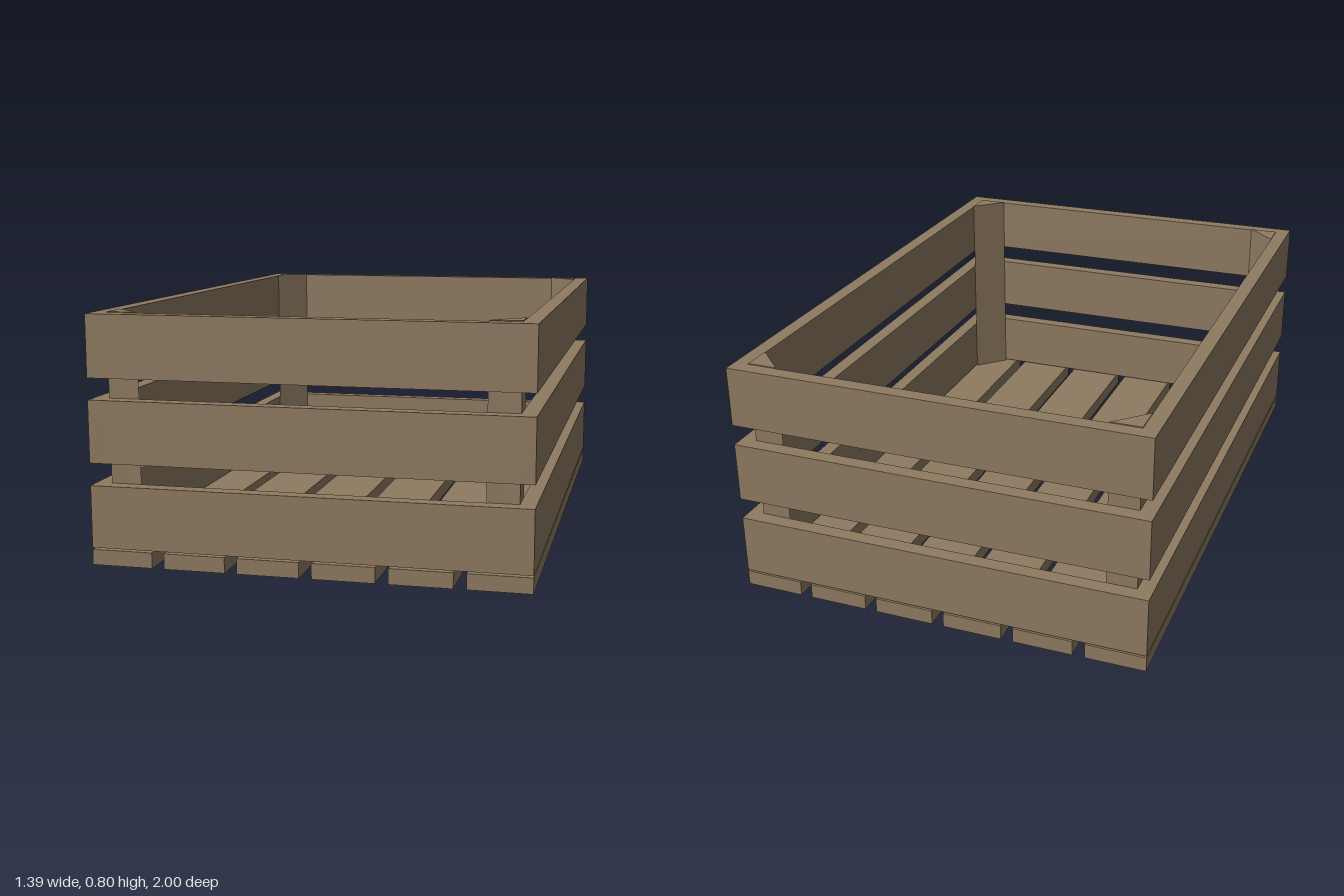
import * as THREE from 'three';

export function createModel() {
  const crate = new THREE.Group();
  crate.name = 'crate';
  const wood = new THREE.MeshStandardMaterial({ color: 0x8e7a60 });
  wood.name = 'wood';

  const W = 0.697, L = 1, T = 0.05, H = 0.2; // half width, half length, board thickness, board height

  function add(name, geometry, x, y, z) {
    const mesh = new THREE.Mesh(geometry, wood);
    mesh.name = name;
    mesh.position.set(x, y, z);
    crate.add(mesh);
  }

  // six floor boards running lengthwise
  const floorWidth = 0.199, pitch = (2 * W - floorWidth) / 5;
  for (let i = 0; i < 6; i++) {
    add('floorBoard', new THREE.BoxGeometry(floorWidth, T, 2 * L), (i - 2.5) * pitch, T / 2, 0);
  }

  // three tiers of wall boards: full-length sides with the ends set between them
  for (const y of [0.156, 0.428, 0.697]) {
    for (const s of [-1, 1]) {
      add('sideBoard', new THREE.BoxGeometry(T, H, 2 * L), s * (W - T / 2), y, 0);
      add('endBoard', new THREE.BoxGeometry(2 * (W - T), H, T), 0, y, s * (L - T / 2));
    }
  }

  // triangular corner posts
  const leg = 0.1;
  for (const sx of [-1, 1]) {
    for (const sz of [-1, 1]) {
      const triangle = new THREE.Shape([
        new THREE.Vector2(0, 0),
        new THREE.Vector2(-sx * leg, 0),
        new THREE.Vector2(0, sz * leg),
      ]);
      const post = new THREE.ExtrudeGeometry(triangle, { depth: 0.75, bevelEnabled: false });
      post.rotateX(-Math.PI / 2);
      add('cornerPost', post, sx * (W - T), T, sz * (L - T));
    }
  }
  return crate;
}
